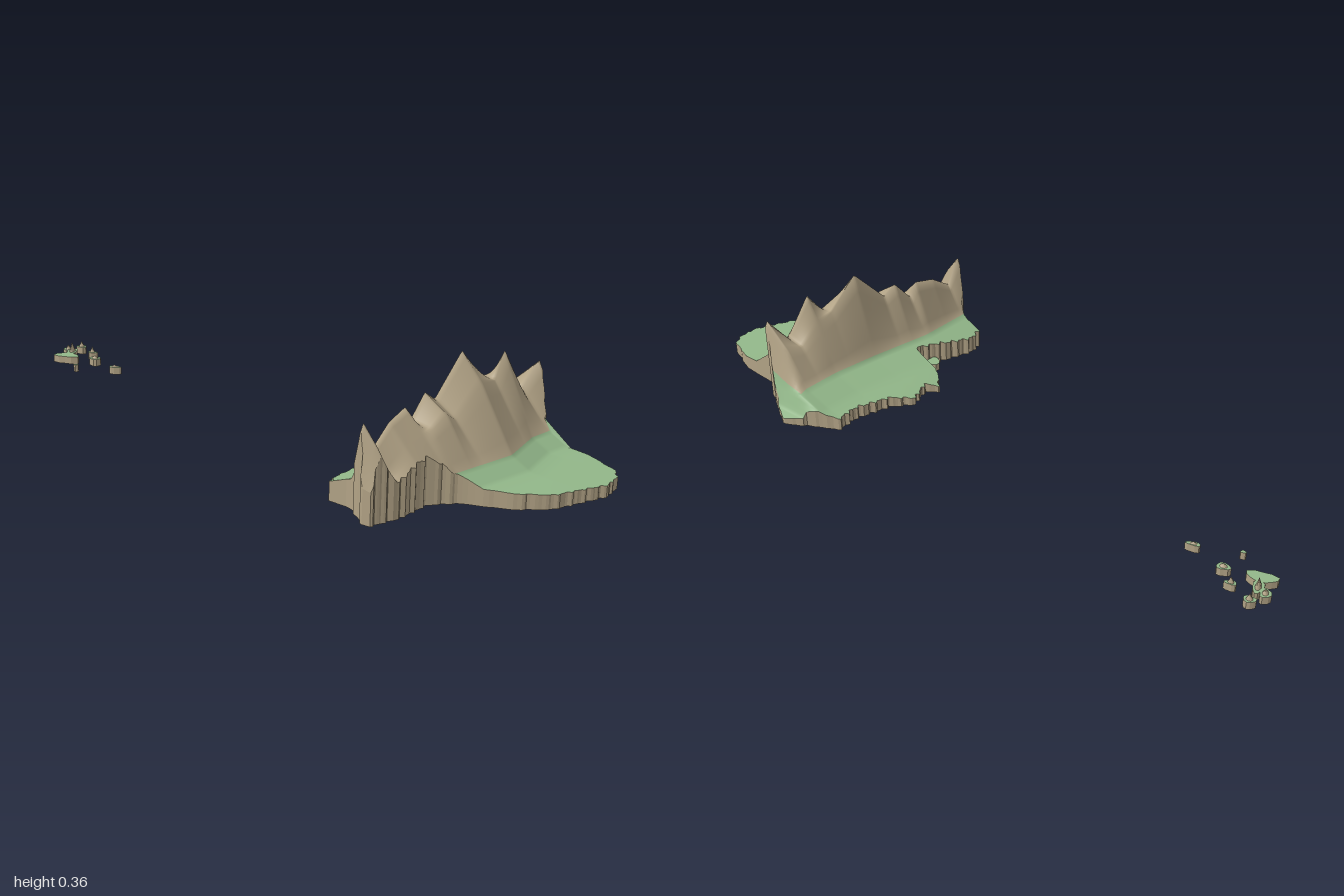
import * as THREE from 'three';

const green = new THREE.MeshStandardMaterial({ color: 0x93b88a });
green.name = 'lowland green';
const tan = new THREE.MeshStandardMaterial({ color: 0xb2a386 });
tan.name = 'rock tan';

const Z0 = -.393, Z1 = .393;

// coast outline as [z, x]
const WEST = [[Z0, .56], [-.34, .47], [-.315, .41], [-.24, .41], [-.13, .37], [-.07, .315], [0, .335],
  [.03, .3], [.08, .35], [.086, .45], [.2, .395], [.27, .365], [.32, .37], [.326, .44], [Z1, .515]];
const EAST = [[Z0, .575], [-.29, .73], [-.262, .745], [-.254, .88], [-.21, .98], [-.17, 1], [-.11, .995],
  [.04, .9], [.1, .81], [.145, .67], [.2, .605], [.31, .58], [Z1, .535]];

// mountain plan: z, then x of west foot, west crest, east crest, east foot
const PLAN = [[Z0, .53, .57, .61, .66], [-.305, .55, .62, .7, .78], [-.185, .54, .6, .64, .74],
  [-.04, .51, .575, .64, .74], [.155, .46, .52, .59, .66], [Z1, .44, .49, .53, .6]];

// peaks and passes: z, then heights of west and east crest
const CRESTS = [[Z0, .02, .02], [-.365, .03, .03], [-.34, .09, .11], [-.305, .2, .28], [-.25, .19, .2],
  [-.185, .24, .335], [-.13, .27, .26], [-.04, .365, .28], [.06, .25, .2], [.1, .28, .23], [.155, .21, .2],
  [.175, .26, .18], [.25, .24, .17], [.32, .19, .12], [.365, .28, .22], [Z1, .11, .1]];

// linear interpolation of every column in a table keyed by its first column
function sample(table, t) {
  let i = 0;
  while (i < table.length - 2 && t > table[i + 1][0]) i++;
  const a = table[i], b = table[i + 1];
  const f = THREE.MathUtils.clamp((t - a[0]) / (b[0] - a[0]), 0, 1);
  return a.slice(1).map((v, k) => v + (b[k + 1] - v) * f);
}

// one east-west section of the land, with columns placed on the profile's knots
const SUB = 5;
function section(z) {
  const wobble = Math.sin(z * 190) * .004 + Math.sin(z * 333 + 1) * .003;
  const xl = sample(WEST, z)[0] + wobble;
  const xr = Math.min(1, Math.max(xl + .01, sample(EAST, z)[0] - wobble * .7));
  const [footW, crestW, crestE, footE] = sample(PLAN, z);
  const [hW, hE] = sample(CRESTS, z);
  const profile = [[.29, .02], [footW - .1, Math.min(.05, hW)], [footW, Math.min(.09, hW)], [crestW, hW],
    [crestE, hE], [footE, Math.min(.09, hE)], [footE + .06, Math.min(.052, hE)], [1.01, Math.min(.036, hE)]];
  const row = [];
  for (let k = 0; k < 7; k++) {
    for (let s = k ? 1 : 0; s <= SUB; s++) {
      const raw = THREE.MathUtils.lerp(profile[k][0], profile[k + 1][0], s / SUB);
      const x = THREE.MathUtils.clamp(raw, xl, xr);
      row.push(new THREE.Vector3(x, sample(profile, x)[0], z));
    }
  }
  return row;
}

function buildLand(group) {
  const N = 150, rows = [];
  for (let i = 0; i <= N; i++) rows.push(section(Z0 + (Z1 - Z0) * i / N));
  const C = rows[0].length;

  // relief surface: green lowlands and tan mountains share vertices for smooth shading
  const low = [], high = [];
  for (let i = 0; i < N; i++) {
    for (let j = 0; j < C - 1; j++) {
      const k = Math.floor(j / SUB);
      const list = k >= 2 && k <= 4 && rows[i][0].z > -.336 ? high : low;
      const a = i * C + j, b = a + 1, c = a + C, d = c + 1;
      if (rows[i][j + 1].x - rows[i][j].x > 1e-6) list.push(a, c, b);
      if (rows[i + 1][j + 1].x - rows[i + 1][j].x > 1e-6) list.push(b, c, d);
    }
  }
  const top = new THREE.BufferGeometry().setFromPoints(rows.flat());
  top.setIndex(low.concat(high));
  top.addGroup(0, low.length, 0);
  top.addGroup(low.length, high.length, 1);
  top.computeVertexNormals();
  const relief = new THREE.Mesh(top, [green, tan]);
  relief.name = 'terrain relief';
  group.add(relief);

  // cliffs around the coast and the flat underside
  const rim = [
    ...rows.map(r => r[0]), ...rows[N],
    ...rows.map(r => r[C - 1]).reverse(), ...[...rows[0]].reverse(),
  ];
  const pts = [], ground = p => new THREE.Vector3(p.x, 0, p.z);
  rim.forEach((p, i) => {
    const q = rim[(i + 1) % rim.length];
    if (p.distanceTo(q) > 1e-6) pts.push(ground(p), ground(q), q, ground(p), q, p);
  });
  for (let i = 0; i < N; i++) {
    const [a, b, c, d] = [rows[i][0], rows[i][C - 1], rows[i + 1][0], rows[i + 1][C - 1]].map(ground);
    pts.push(a, b, c, b, d, c);
  }
  const side = new THREE.BufferGeometry().setFromPoints(pts);
  side.computeVertexNormals();
  const cliffs = new THREE.Mesh(side, tan);
  cliffs.name = 'coast cliffs and base';
  group.add(cliffs);
}

// small island: irregular slab with a green top and an optional rocky peak
function island(x, z, rx, rz, peak) {
  const h = .025;
  const g = new THREE.Group();
  g.name = 'island';
  const slab = new THREE.CylinderGeometry(1, 1, h, 11).toNonIndexed();
  const p = slab.attributes.position;
  for (let i = 0; i < p.count; i++) {
    const a = Math.atan2(p.getZ(i), p.getX(i));
    const r = 1 + .13 * Math.sin(3 * a + x * 40) + .08 * Math.cos(2 * a);
    p.setXYZ(i, p.getX(i) * r * rx, p.getY(i) + h / 2, p.getZ(i) * r * rz);
  }
  slab.computeVertexNormals();
  const base = new THREE.Mesh(slab, [tan, green, tan]);
  base.name = 'island slab';
  g.add(base);
  if (peak) {
    const cone = new THREE.Mesh(new THREE.ConeGeometry(.6, peak - h, 7, 1, true), tan);
    cone.scale.set(rx, 1, rz);
    cone.position.y = (peak + h) / 2;
    cone.name = 'island peak';
    g.add(cone);
  }
  g.position.set(x, 0, z);
  g.rotation.y = .3;
  return g;
}

export function createModel() {
  const group = new THREE.Group();
  group.name = 'relief map';
  buildLand(group);

  // western archipelago, then the islet in the gulf
  group.add(
    island(-.945, -.115, .042, .022, 0),
    island(-.955, -.155, .015, .028, .058),
    island(-.982, -.165, .015, .02, .04),
    island(-.96, -.21, .017, .014, .045),
    island(-.89, -.185, .016, .01, .045),
    island(-.843, -.143, .019, .015, .035),
    island(-.857, -.06, .008, .006, 0),
    island(-.733, -.115, .02, .009, .032),
    island(.405, .125, .02, .024, 0),
  );
  return group;
}
